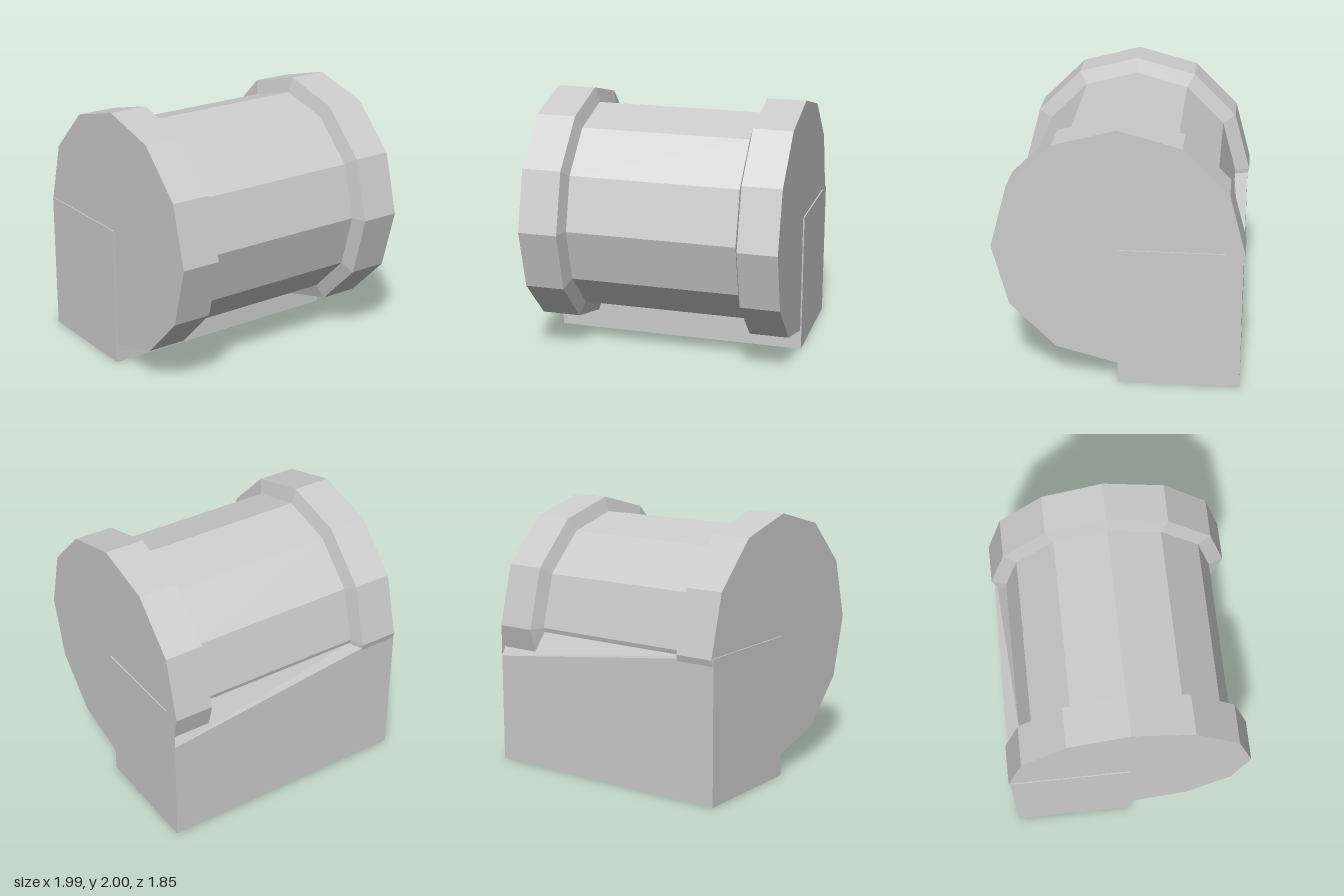
import * as THREE from 'three';

export function createModel() {
  const model = new THREE.Group();

  // Twelve-sided drum with a raised band at each end
  const profile = [
    [0, -0.983], [0.923, -0.983], [0.923, -0.683], [0.81, -0.648],
    [0.81, 0.648], [0.923, 0.683], [0.923, 0.983], [0, 0.983],
  ].map(([r, x]) => new THREE.Vector2(r, x));
  const drum = new THREE.Mesh(
    new THREE.LatheGeometry(profile, 12).rotateZ(-Math.PI / 2),
    new THREE.MeshStandardMaterial({ color: 0xcccccc, flatShading: true }),
  );
  drum.name = 'drum';
  drum.position.y = 1.077;
  model.add(drum);

  // Block under the rear half; its top dips at the left rear corner
  const X = 0.993, H = 1.085, B = -0.91, S = -0.78, DIP = 0.83;
  const faces = [
    [[-X, 0, 0], [X, 0, 0], [X, H, 0], [-X, H, 0]], // front
    [[-X, 0, B], [X, 0, B], [X, 0, 0], [-X, 0, 0]], // bottom
    [[X, 0, 0], [X, 0, B], [X, H, B], [X, H, 0]], // left end
    [[-X, 0, B], [-X, 0, 0], [-X, H, 0], [-X, H, B]], // right end
    [[X, 0, B], [-X, 0, B], [-X, H, B], [X, DIP, B]], // rear
    [[-X, H, 0], [X, H, 0], [X, H, S], [-X, H, S]], // top
    [[-X, H, S], [X, H, S], [X, DIP, B], [-X, H, B]], // dipping rear strip
  ];
  const positions = faces.flatMap((q) => [0, 1, 2, 0, 2, 3].flatMap((i) => q[i]));
  const geometry = new THREE.BufferGeometry();
  geometry.setAttribute('position', new THREE.Float32BufferAttribute(positions, 3));
  geometry.computeVertexNormals();
  const block = new THREE.Mesh(geometry, new THREE.MeshStandardMaterial({
    color: 0xcccccc, flatShading: true, side: THREE.DoubleSide,
  }));
  block.name = 'supportBlock';
  model.add(block);

  return model;
}
